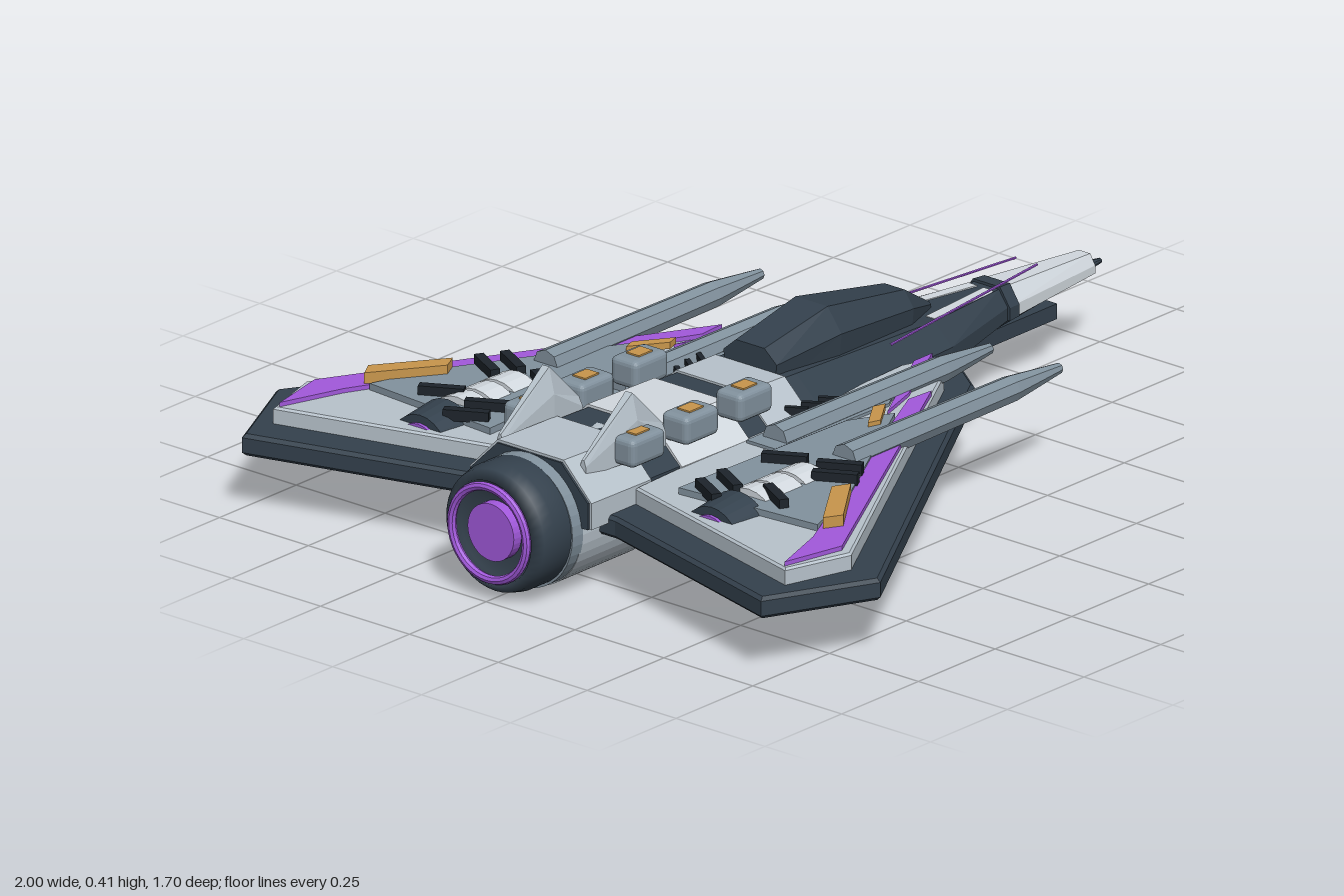
import * as THREE from 'three';
import { RoundedBoxGeometry } from 'three/addons/geometries/RoundedBoxGeometry.js';

const mats = {};
const mat = (c) => (mats[c] ??= new THREE.MeshStandardMaterial({ color: c, flatShading: true }));
const DARK = 0x34414d, BLACK = 0x1d242b, GREY = 0x82929e, LIGHT = 0xb8c3cc, WHITE = 0xd3dae0, PURPLE = 0xa259dc, ORANGE = 0xc8964c;

export function createModel() {
  const root = new THREE.Group();
  const add = (name, geo, color, x = 0, y = 0, z = 0) => {
    const m = new THREE.Mesh(geo, mat(color));
    m.name = name;
    m.position.set(x, y, z);
    root.add(m);
    return m;
  };
  const box = (name, color, w, h, d, x, y, z) => add(name, new THREE.BoxGeometry(w, h, d), color, x, y, z);

  // Horizontal plate from [x, z] corners
  const plate = (name, pts, y0, y1, color, bevel = 0) => {
    const shape = new THREE.Shape(pts.map(([x, z]) => new THREE.Vector2(x, -z)));
    const geo = new THREE.ExtrudeGeometry(shape, {
      depth: y1 - y0 - 2 * bevel, bevelEnabled: bevel > 0, bevelSize: bevel, bevelThickness: bevel, bevelOffset: -bevel, bevelSegments: 1,
    });
    geo.rotateX(-Math.PI / 2);
    return add(name, geo, color, 0, y0 + bevel, 0);
  };

  // Cylinder lying along x, from x0 to x1
  const tube = (name, color, x0, x1, r0, r1, y, z, n = 24) => {
    const geo = new THREE.CylinderGeometry(r1, r0, x1 - x0, n);
    geo.rotateZ(-Math.PI / 2);
    return add(name, geo, color, (x0 + x1) / 2, y, z);
  };

  // Skin over cross-sections { x, ring: [[z, y], ...] }, running +z over the top to -z
  const loft = (name, sections, color) => {
    const v = [], n = sections[0].ring.length;
    const p = (i, j) => [sections[i].x, sections[i].ring[j % n][1], sections[i].ring[j % n][0]];
    const tri = (a, b, c) => v.push(...a, ...b, ...c);
    for (let i = 0; i < sections.length - 1; i++) {
      for (let j = 0; j < n; j++) {
        tri(p(i, j), p(i + 1, j), p(i + 1, j + 1));
        tri(p(i, j), p(i + 1, j + 1), p(i, j + 1));
      }
    }
    const e = sections.length - 1;
    for (let j = 1; j < n - 1; j++) {
      tri(p(0, 0), p(0, j), p(0, j + 1));
      tri(p(e, 0), p(e, j + 1), p(e, j));
    }
    const geo = new THREE.BufferGeometry();
    geo.setAttribute('position', new THREE.Float32BufferAttribute(v, 3));
    geo.computeVertexNormals();
    return add(name, geo, color);
  };

  // Upper hull stations: x, half width, waist y, top y, top half width
  const stations = [
    [-0.86, 0.165, 0.17, 0.305, 0.09], [-0.1, 0.165, 0.17, 0.285, 0.095], [0.38, 0.12, 0.17, 0.255, 0.07],
    [0.63, 0.06, 0.18, 0.245, 0.035], [0.95, 0.028, 0.185, 0.225, 0.015],
  ];
  const sectionAt = (x, grow = 0) => {
    let i = 0;
    while (i < stations.length - 2 && x > stations[i + 1][0]) i++;
    const a = stations[i], b = stations[i + 1], t = (x - a[0]) / (b[0] - a[0]);
    const [, w, ym, yt, wt] = a.map((s, k) => s + (b[k] - s) * t);
    const W = w + grow, T = wt + grow * 0.5, Y = yt + grow, side = ym + (yt - ym) * 0.45;
    return { x, ring: [[W, ym], [W, side], [T, Y], [-T, Y], [-W, side], [-W, ym]] };
  };
  const hull = (name, x0, x1, color, grow = 0) => {
    const xs = [x0, ...stations.map((s) => s[0]).filter((x) => x > x0 && x < x1), x1];
    loft(name, xs.map((x) => sectionAt(x, grow)), color);
  };
  hull('upperHull', -0.86, 0.64, DARK);
  hull('rearHullPanel', -0.855, -0.66, LIGHT, 0.006);
  hull('midHullPanel', -0.56, -0.34, WHITE, 0.006);
  hull('cockpitCollar', -0.27, -0.14, LIGHT, 0.005);
  hull('noseBand', 0.63, 0.665, DARK, 0.006);
  hull('noseCone', 0.64, 0.95, WHITE, 0.002);
  tube('noseTip', DARK, 0.94, 1.0, 0.014, 0.006, 0.192, 0, 10);

  // Dark keel
  loft('lowerHull', [[-0.86, 0.15, 0.09, 0.07], [-0.36, 0.16, 0.085, 0.07], [0.28, 0.13, 0.125, 0.05], [0.63, 0.06, 0.15, 0.025], [0.95, 0.028, 0.18, 0.012]]
    .map(([x, w, yb, wb]) => ({ x, ring: [[w, 0.188], [-w, 0.188], [-wb, yb], [wb, yb]] })), DARK);
  box('chinGun', DARK, 0.28, 0.035, 0.036, 0.7, 0.128, 0);
  box('chinGunMount', DARK, 0.06, 0.04, 0.02, 0.6, 0.155, 0);

  // Faceted canopy
  loft('canopy', [[-0.14, 0.075, 0.31, 0.34, 0.04], [0.06, 0.085, 0.325, 0.378, 0.045], [0.33, 0.055, 0.295, 0.332, 0.028], [0.44, 0.008, 0.26, 0.265, 0.004]]
    .map(([x, w, ym, yt, wt]) => ({ x, ring: [[w, ym], [wt, yt], [-wt, yt], [-w, ym], [-w * 0.9, 0.245], [w * 0.9, 0.245]] })), DARK);

  // Main engine and its underslung cowl
  tube('engineCowl', LIGHT, -0.86, -0.62, 0.147, 0.147, 0.153, 0, 40);
  tube('cowlIntake', DARK, -0.63, -0.612, 0.13, 0.13, 0.153, 0, 40);
  tube('engineCollar', GREY, -0.89, -0.855, 0.148, 0.148, 0.157, 0, 40);
  const lathe = new THREE.LatheGeometry([[0.05, 0.03], [0.105, 0.03], [0.118, 0], [0.138, 0.02], [0.145, 0.05], [0.145, 0.1], [0.135, 0.13]]
    .map(([r, h]) => new THREE.Vector2(r, h)), 40);
  lathe.rotateZ(-Math.PI / 2);
  add('mainNozzle', lathe, DARK, -0.99, 0.16, 0).material = new THREE.MeshStandardMaterial({ color: DARK, side: THREE.DoubleSide });
  add('nozzleGlowRing', new THREE.TorusGeometry(0.105, 0.01, 8, 40).rotateY(Math.PI / 2), PURPLE, -0.99, 0.16, 0);
  tube('nozzleGlow', PURPLE, -0.985, -0.94, 0.065, 0.065, 0.16, 0, 32);

  // Wing slab across both sides
  const half = [[-0.8, 0.19], [-0.95, 0.73], [-0.7, 0.85], [0.29, 0.26], [0.39, 0.12]];
  plate('wingSlab', [...half, ...half.map(([x, z]) => [x, -z]).reverse()], 0.137, 0.187, DARK, 0.008);

  for (const s of [1, -1]) {
    const side = s > 0 ? 'left' : 'right';
    const n = (part) => side + part;
    const P = (pts) => pts.map(([x, z]) => [x, z * s]);

    // Layered wing panels and stripes
    plate(n('WingPanel'), P([[-0.71, 0.17], [-0.86, 0.72], [-0.7, 0.768], [0.22, 0.235], [0.29, 0.16], [0.2, 0.13]]), 0.18, 0.225, LIGHT, 0.005);
    plate(n('WingStripe'), P([[-0.85, 0.71], [-0.7, 0.742], [0.11, 0.295], [0.04, 0.29], [-0.7, 0.66]]), 0.22, 0.235, PURPLE);
    plate(n('RootStripe'), P([[-0.04, 0.3], [0.07, 0.265], [0.28, 0.15], [0.22, 0.15]]), 0.22, 0.233, PURPLE);
    plate(n('InnerPanel'), P([[-0.65, 0.63], [-0.48, 0.57], [-0.05, 0.33], [-0.15, 0.28], [-0.68, 0.265]]), 0.22, 0.24, GREY);
    plate(n('RootPanel'), P([[-0.36, 0.18], [-0.36, 0.26], [0.0, 0.27], [0.17, 0.17]]), 0.22, 0.232, GREY);
    plate(n('OuterMarker'), P([[-0.65, 0.645], [-0.61, 0.668], [-0.46, 0.56], [-0.5, 0.54]]), 0.235, 0.26, ORANGE);
    plate(n('InnerMarker'), P([[-0.15, 0.34], [-0.12, 0.35], [-0.04, 0.295], [-0.07, 0.285]]), 0.235, 0.25, ORANGE);

    // Wing turbine showing above and below the slab
    const z = 0.41 * s, y = 0.172;
    tube(n('TurbineNozzle'), DARK, -0.74, -0.65, 0.078, 0.088, y, z);
    tube(n('TurbineGlow'), PURPLE, -0.748, -0.73, 0.06, 0.06, y, z);
    tube(n('TurbineCore'), DARK, -0.66, -0.39, 0.066, 0.066, y, z);
    [[-0.62, -0.57], [-0.56, -0.5], [-0.49, -0.42]].forEach(([a, b]) => tube(n('TurbineShell'), WHITE, a, b, 0.084, 0.084, y, z));
    tube(n('TurbineFront'), GREY, -0.42, -0.37, 0.082, 0.06, y, z);
    for (const [cx, cz, a] of [[-0.67, 0.34, 0.5], [-0.6, 0.47, 0.5], [-0.6, 0.34, 0.5], [-0.43, 0.49, -0.5], [-0.42, 0.34, -0.5], [-0.38, 0.46, -0.5]]) {
      box(n('TurbineClamp'), BLACK, 0.022, 0.025, 0.1, cx, 0.248, cz * s).rotation.y = -a * s;
    }
    for (let i = 0; i < 3; i++) {
      box(n('RootClamp'), BLACK, 0.012, 0.025, 0.05, -0.18 + i * 0.045, 0.238, (0.165 + i * 0.008) * s).rotation.y = 0.6 * s;
      box(n('BellyVent'), GREY, 0.09, 0.012, 0.035, -0.4 + i * 0.2, 0.134, (0.21 - i * 0.01) * s);
    }
    box(n('BellyRail'), GREY, 0.13, 0.012, 0.018, -0.1, 0.134, 0.3 * s);

    // Long cannons with tapered muzzles and bulbous mounts
    for (const [cz, cy] of [[0.42, 0.238], [0.225, 0.233]]) {
      tube(n('CannonBarrel'), GREY, -0.32, 0.22, 0.034, 0.03, cy, cz * s, 8);
      tube(n('CannonMuzzle'), GREY, 0.22, 0.38, 0.03, 0.012, cy, cz * s, 8);
      tube(n('CannonBore'), BLACK, 0.375, 0.383, 0.008, 0.008, cy, cz * s, 8);
    }
    tube(n('InnerPod'), DARK, -0.45, -0.1, 0.05, 0.04, 0.17, 0.225 * s, 16);

    // Equipment boxes with orange caps
    for (const x of [-0.68, -0.505, -0.33]) {
      add(n('EquipmentBox'), new RoundedBoxGeometry(0.11, 0.065, 0.075, 2, 0.014), GREY, x, 0.307, 0.147 * s);
      box(n('EquipmentCap'), ORANGE, 0.045, 0.016, 0.035, x, 0.335, 0.147 * s);
    }

    // Tail fin, thick at the root and narrow at the crest
    loft(n('TailFin'), [[-0.82, 0.306, 0.008], [-0.67, 0.418, 0.024], [-0.57, 0.32, 0.018]]
      .map(([x, top, w]) => ({
        x, ring: [[w, 0.27], [w, 0.27 + (top - 0.27) * 0.6], [w * 0.4, top], [-w * 0.4, top], [-w, 0.27 + (top - 0.27) * 0.6], [-w, 0.27]]
          .map(([dz, yy]) => [0.117 * s + dz, yy]),
      })), LIGHT);

    // Nose side panels and sensor rods
    loft(n('NosePanel'), [[0.39, 0.112, 0.062, 0.256], [0.61, 0.062, 0.034, 0.249]].map(([x, zo, zi, yt]) => {
      const r = [[zo, 0.212], [zi, yt], [zi - 0.025, yt], [zi - 0.025, 0.2]].map(([a, b]) => [a * s, b]);
      return { x, ring: s > 0 ? r : r.reverse() };
    }), WHITE);
    const rod = new THREE.LineCurve3(new THREE.Vector3(0.2, 0.262, 0.1 * s), new THREE.Vector3(0.76, 0.262, 0.03 * s));
    add(n('SensorRod'), new THREE.TubeGeometry(rod, 1, 0.003, 6), PURPLE);
  }
  return root;
}
